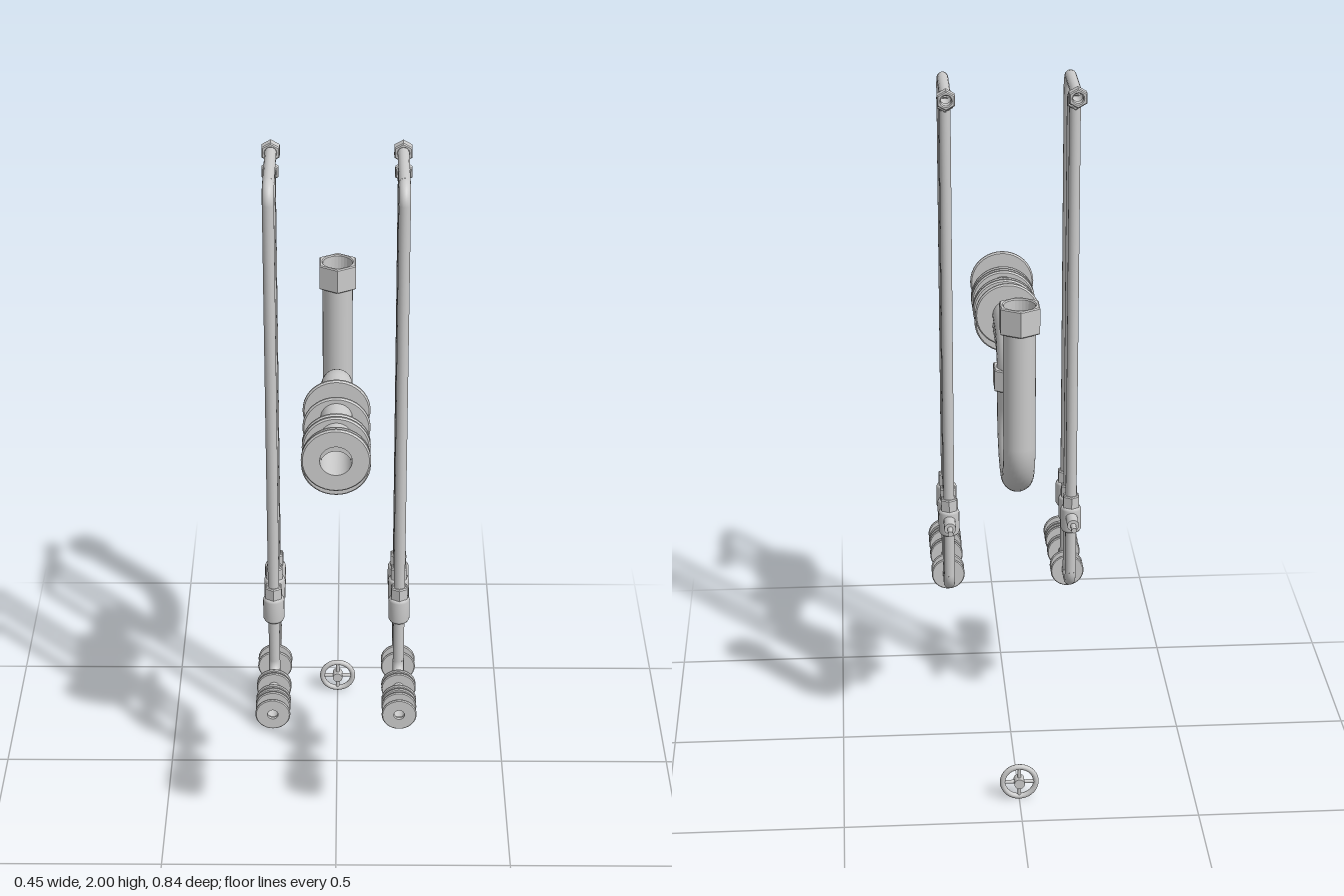
import * as THREE from 'three';
import { mergeGeometries } from 'three/addons/utils/BufferGeometryUtils.js';

const smooth = new THREE.MeshStandardMaterial({ color: 0xcccccc, side: THREE.DoubleSide });
const faceted = new THREE.MeshStandardMaterial({ color: 0xcccccc, flatShading: true });

function add(parent, name, geometry, material = smooth, x = 0, y = 0, z = 0) {
  const mesh = new THREE.Mesh(geometry, material);
  mesh.name = name;
  mesh.position.set(x, y, z);
  parent.add(mesh);
  return mesh;
}

// Open round pipe through [y, z] corners, each corner rounded with its own radius
function pipe(corners, radius, sides) {
  const p = corners.map(([y, z]) => new THREE.Vector3(0, y, z));
  const parts = [];
  const straight = (a, b) => {
    if (a.distanceTo(b) > 1e-4) parts.push(new THREE.TubeGeometry(new THREE.LineCurve3(a, b), 1, radius, sides));
  };
  let start = p[0];
  for (let i = 1; i < p.length - 1; i++) {
    const r = corners[i][2];
    const toPrev = p[i - 1].clone().sub(p[i]).normalize();
    const toNext = p[i + 1].clone().sub(p[i]).normalize();
    const at = (dir, d) => p[i].clone().addScaledVector(dir, d);
    const bend = new THREE.CubicBezierCurve3(
      at(toPrev, r), at(toPrev, r * 0.4477), at(toNext, r * 0.4477), at(toNext, r));
    straight(start, bend.v0);
    parts.push(new THREE.TubeGeometry(bend, 12, radius, sides));
    start = bend.v3;
  }
  straight(start, p[p.length - 1]);
  return mergeGeometries(parts);
}

// Flat ring with softened rim, axis along z, centred on its thickness
function flange(outer, inner, t, sides) {
  const b = t * 0.3, h = t / 2;
  const profile = [[inner, -h], [outer - b, -h], [outer, -h + b], [outer, h - b], [outer - b, h], [inner, h], [inner, -h]];
  const geo = new THREE.LatheGeometry(profile.map(([x, y]) => new THREE.Vector2(x, y)), sides);
  return geo.rotateX(Math.PI / 2).toNonIndexed();
}

// Hexagonal nut with a round bore, axis along z, corners pointing up and down
function nut(radius, bore, length) {
  const shape = new THREE.Shape();
  for (let i = 0; i < 6; i++) {
    const a = Math.PI / 2 + i * Math.PI / 3;
    shape[i ? 'lineTo' : 'moveTo'](radius * Math.cos(a), radius * Math.sin(a));
  }
  shape.closePath();
  shape.holes.push(new THREE.Path().absarc(0, 0, bore, 0, Math.PI * 2, true));
  const b = 0.003;
  return new THREE.ExtrudeGeometry(shape, {
    depth: length - 2 * b, bevelEnabled: true, bevelThickness: b, bevelSize: b, bevelOffset: -b,
    bevelSegments: 1, curveSegments: 14,
  }).translate(0, 0, b - length / 2);
}

// Solid bar along z
const bar = (r, length, sides = 16) => new THREE.CylinderGeometry(r, r, length, sides).rotateX(Math.PI / 2);

const flangeZ = [0.135, 0.171, 0.264, 0.281, 0.339, 0.356, 0.374, 0.411];

function drainTrap() {
  const group = new THREE.Group();
  group.name = 'drainTrap';
  const upperY = 1.286, lowerY = 1.252;
  add(group, 'trapPipe', pipe([
    [upperY, 0.41], [upperY, -0.082, 0.09], [0.956, -0.082, 0.14], [0.956, -0.362, 0.14], [1.46, -0.362],
  ], 0.0436, 28));
  add(group, 'lowerWallPipe', pipe([[lowerY, 0.376], [lowerY, -0.082, 0.07], [1.17, -0.082]], 0.0434, 28));
  flangeZ.forEach((z, i) => {
    const y = i === 0 || i === flangeZ.length - 1 ? upperY : lowerY;
    add(group, 'wallFlange', flange(0.093, 0.043, 0.014, 40), faceted, 0, y, z);
  });
  const upper = add(group, 'inletNut', nut(0.0605, 0.0425, 0.075), faceted, 0, 1.463, -0.362);
  const lower = add(group, 'trapNut', nut(0.0605, 0.0425, 0.064), faceted, 0, 1.183, -0.082);
  upper.rotation.x = lower.rotation.x = Math.PI / 2;
  return group;
}

// Shut-off valve on a riser, with its stem pointing back
function valve(z) {
  const group = new THREE.Group();
  group.name = 'valve';
  const outline = [[0.015, 0.652], [0.026, 0.652], [0.03, 0.66], [0.03, 0.72], [0.026, 0.728], [0.015, 0.728]];
  add(group, 'valveBody', new THREE.LatheGeometry(outline.map(([r, y]) => new THREE.Vector2(r, y)), 20));
  const collar = add(group, 'valveCollar', nut(0.026, 0.014, 0.04), faceted, 0, 0.744, 0);
  collar.rotation.x = Math.PI / 2;
  add(group, 'valveNeck', bar(0.017, 0.07), smooth, 0, 0.7, -0.042);
  add(group, 'valveStem', bar(0.008, 0.036, 10), smooth, 0, 0.7, -0.093);
  group.position.z = z;
  return group;
}

function supplyLine(x) {
  const group = new THREE.Group();
  group.name = 'supplyLine';
  const wallY = 0.472;
  // Riser position, top height, where the top run ends, bend radii
  const risers = [
    { z: 0.21, top: 1.971, end: -0.055, bend: 0.042 },
    { z: 0.106, top: 1.943, end: 0.02, bend: 0.038 },
    { z: 0.032, top: 1.938, end: 0.012, bend: 0.018 },
  ];
  for (const { z, top, end, bend } of risers) {
    add(group, 'riserPipe', pipe([
      [wallY, z === 0.032 ? 0.411 : z + 0.12], [wallY, z, 0.045], [top, z, bend], [top, end],
    ], 0.016, 14));
    group.add(valve(z));
  }
  add(group, 'topNut', nut(0.028, 0.014, 0.03), faceted, 0, 1.971, -0.05);
  add(group, 'lowerTopNut', nut(0.026, 0.014, 0.022), faceted, 0, 1.943, 0.022);
  for (const z of flangeZ) {
    add(group, 'smallFlange', flange(0.049, 0.015, 0.009, 32), faceted, 0, 0.468, z + 0.002);
  }
  group.position.x = x;
  return group;
}

function handwheel() {
  const group = new THREE.Group();
  group.name = 'handwheel';
  add(group, 'rim', new THREE.TorusGeometry(0.0475, 0.008, 12, 36));
  add(group, 'hub', bar(0.015, 0.034, 18));
  for (let i = 0; i < 4; i++) {
    const a = i * Math.PI / 2;
    const spoke = add(group, 'spoke', new THREE.CylinderGeometry(0.0055, 0.0055, 0.036, 10), smooth,
      -Math.sin(a) * 0.028, Math.cos(a) * 0.028, 0);
    spoke.rotation.z = a;
  }
  group.position.set(0, 0.0565, -0.377);
  return group;
}

export function createModel() {
  const model = new THREE.Group();
  model.name = 'plumbingSet';
  model.add(drainTrap(), supplyLine(0.177), supplyLine(-0.177), handwheel());
  return model;
}
